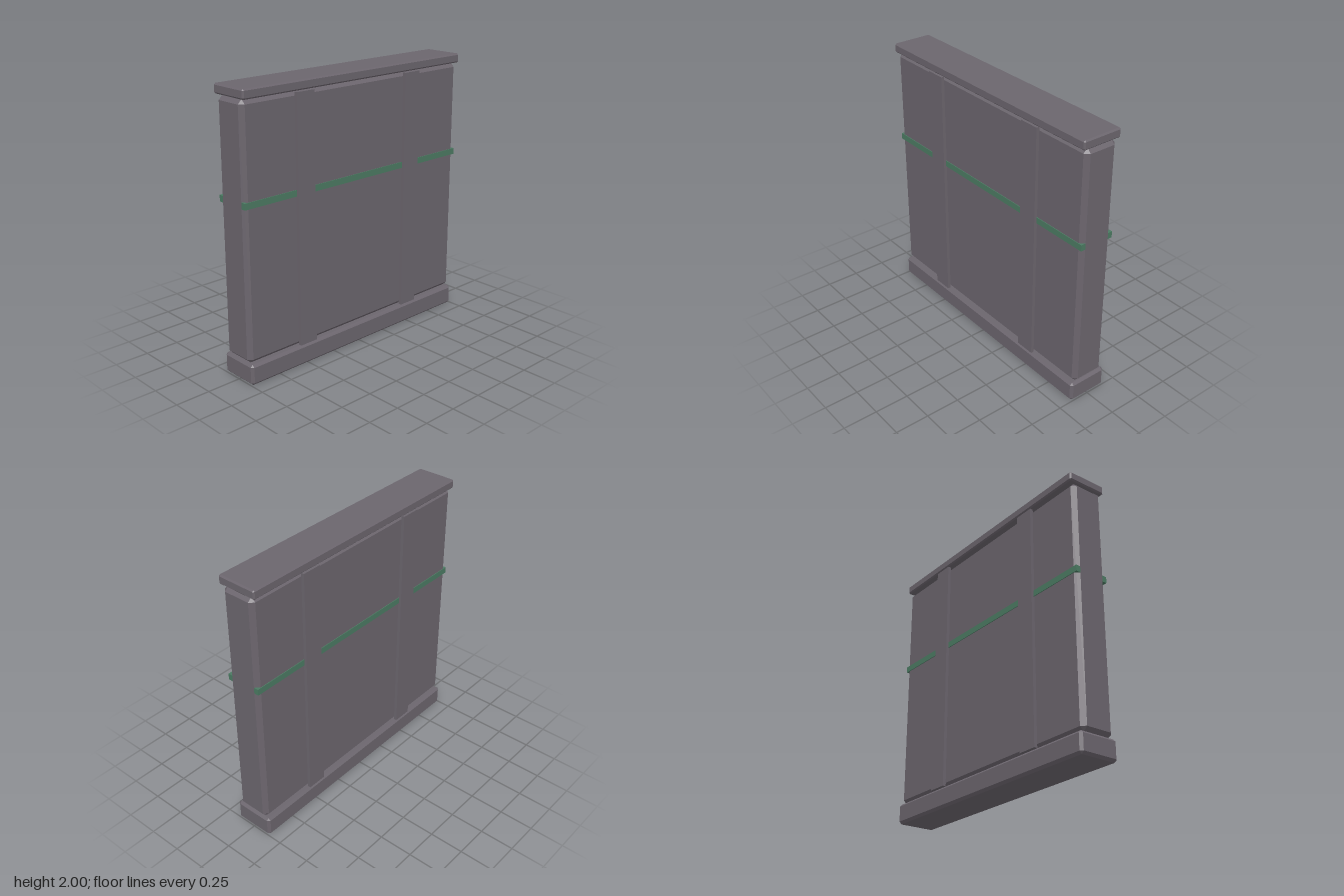
import * as THREE from 'three';
import { ConvexGeometry } from 'three/addons/geometries/ConvexGeometry.js';

// Box with every edge cut by a flat chamfer c
function chamferBox(w, h, d, c) {
  const half = [w / 2, h / 2, d / 2];
  const points = [];
  for (const sx of [-1, 1]) for (const sy of [-1, 1]) for (const sz of [-1, 1]) {
    const s = [sx, sy, sz];
    for (let full = 0; full < 3; full++) {
      points.push(new THREE.Vector3(...half.map((v, i) => s[i] * (i === full ? v : v - c))));
    }
  }
  return new ConvexGeometry(points);
}

export function createModel() {
  const group = new THREE.Group();
  const metal = new THREE.MeshStandardMaterial({ color: 0x6b656d });
  metal.name = 'wallGrey';
  const green = new THREE.MeshStandardMaterial({ color: 0x4b7a62 });
  green.name = 'stripeGreen';

  function add(name, geometry, material, x, y, z) {
    const mesh = new THREE.Mesh(geometry, material);
    mesh.name = name;
    mesh.position.set(x, y, z);
    group.add(mesh);
  }

  // Base, panel and cap
  add('base', chamferBox(2, 0.15, 0.3, 0.018), metal, 0, 0.075, 0);
  add('panel', chamferBox(2, 1.78, 0.254, 0.03), metal, 0, 1.04, 0);
  add('cap', chamferBox(2, 0.067, 0.3, 0.01), metal, 0, 1.9665, 0);

  // Ribs and coloured stripe on both faces
  for (const side of [1, -1]) {
    const face = side > 0 ? 'front' : 'back';
    add(face + 'Stripe', new THREE.BoxGeometry(2, 0.045, 0.036), green, 0, 1.253, side * 0.114);
    for (const x of [-0.5, 0.5]) {
      add(face + (x > 0 ? 'LeftRib' : 'RightRib'),
        new THREE.BoxGeometry(0.146, 1.77, 0.024), metal, x, 1.04, side * 0.138);
    }
  }
  return group;
}
